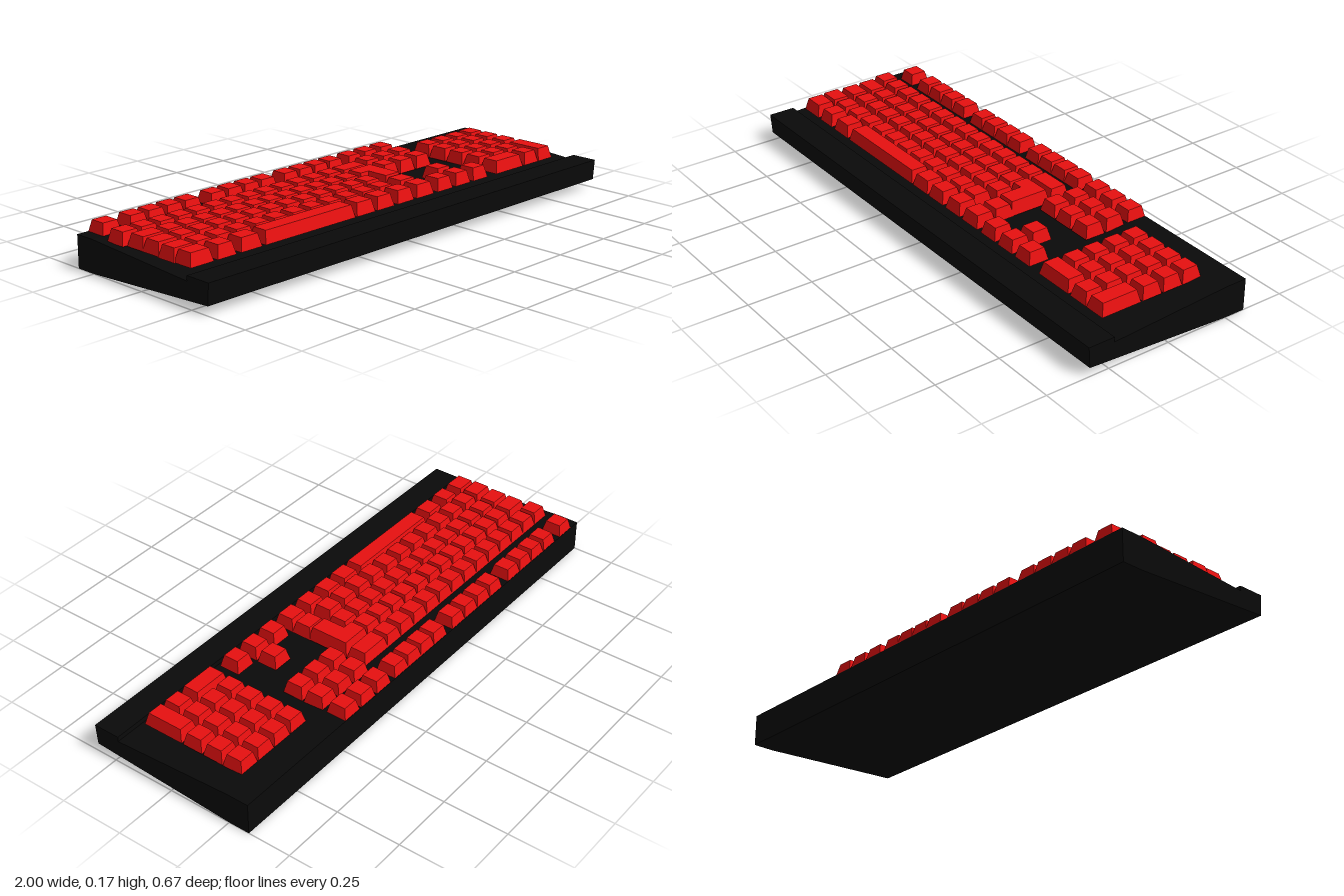
import * as THREE from 'three';

const bodyMat = new THREE.MeshStandardMaterial({ color: 0x0a0a0a });
const keyMat = new THREE.MeshStandardMaterial({ color: 0xe81010, flatShading: true });

const BASE = 0.117, TOP = 0.164, TAPER = 0.011, HALF = 0.03;

// Tapered keycap given the extents of its top face
function addKey(group, name, x0, x1, z0, z1, top = TOP) {
  const w = x1 - x0, d = z1 - z0, h = top - BASE;
  const geo = new THREE.BoxGeometry(w, h, d);
  const p = geo.attributes.position;
  for (let i = 0; i < p.count; i++) {
    if (p.getY(i) > 0) continue;
    p.setX(i, p.getX(i) + Math.sign(p.getX(i)) * TAPER);
    p.setZ(i, p.getZ(i) + Math.sign(p.getZ(i)) * TAPER);
  }
  geo.computeVertexNormals();
  const key = new THREE.Mesh(geo, keyMat);
  key.name = name;
  key.position.set((x0 + x1) / 2, (BASE + top) / 2, (z0 + z1) / 2);
  group.add(key);
}

// Evenly spaced square keys, first and last centre given
function addRun(group, name, first, last, count, z) {
  for (let i = 0; i < count; i++) {
    const x = count > 1 ? first + ((last - first) * i) / (count - 1) : first;
    addKey(group, name, x - HALF, x + HALF, z - HALF, z + HALF);
  }
}

// One wide key centred on a row
function addWide(group, name, x0, x1, z) {
  addKey(group, name, x0, x1, z - HALF, z + HALF);
}

function section(parent, name) {
  const g = new THREE.Group();
  g.name = name;
  parent.add(g);
  return g;
}

export function createModel() {
  const model = new THREE.Group();
  model.name = 'keyboard';

  // Wedge case with a raised front lip: side profile as (z, y)
  const profile = [
    [0.328, 0.033], [0.334, 0.112], [0.23, 0.112], [0.23, 0.093],
    [-0.25, 0.122], [-0.333, 0.122], [-0.333, 0], [-0.25, 0],
  ];
  const shape = new THREE.Shape(profile.map(([z, y]) => new THREE.Vector2(z, y)));
  const caseGeo = new THREE.ExtrudeGeometry(shape, { depth: 2, bevelEnabled: false });
  caseGeo.rotateY(-Math.PI / 2).translate(1, 0, 0);
  const body = new THREE.Mesh(caseGeo, bodyMat);
  body.name = 'case';
  model.add(body);

  // Back row of escape and shortcut keys
  const back = section(model, 'backRow');
  const zBack = -0.292;
  addRun(back, 'escapeKey', -0.914, -0.914, 1, zBack);
  addRun(back, 'shortcutKey', -0.797, -0.551, 4, zBack);
  addRun(back, 'shortcutKey', -0.43, -0.187, 4, zBack);
  addRun(back, 'shortcutKey', -0.072, 0.163, 4, zBack);

  // Main typing block
  const main = section(model, 'typingKeys');
  addRun(main, 'numberKey', -0.93, 0.035, 13, -0.167);
  addWide(main, 'backspaceKey', 0.083, 0.197, -0.167);
  addWide(main, 'tabKey', -0.945, -0.858, -0.08);
  addRun(main, 'letterKey', -0.807, 0.037, 12, -0.08);
  addWide(main, 'capsKey', -0.945, -0.868, -0.002);
  addRun(main, 'letterKey', -0.818, 0.064, 12, -0.002);
  addWide(main, 'leftShiftKey', -0.95, -0.873, 0.083);
  addRun(main, 'letterKey', -0.823, 0.043, 11, 0.083);
  addWide(main, 'rightShiftKey', 0.128, 0.197, 0.078);

  // L-shaped enter key, slightly taller than the rest
  const enter = section(main, 'enterKey');
  addKey(enter, 'enterUpper', 0.085, 0.195, -0.112, -0.052, 0.169);
  addKey(enter, 'enterStem', 0.127, 0.195, -0.112, 0.036, 0.169);

  // Bottom row
  const bottom = section(model, 'bottomRow');
  const bottomKeys = [
    ['modifierKey', -0.945, -0.868], ['modifierKey', -0.83, -0.77],
    ['modifierKey', -0.727, -0.655], ['spaceBar', -0.618, -0.212],
    ['modifierKey', -0.182, -0.112], ['modifierKey', -0.08, -0.014],
    ['modifierKey', 0.026, 0.09], ['modifierKey', 0.128, 0.197],
  ];
  for (const [name, x0, x1] of bottomKeys) addWide(bottom, name, x0, x1, 0.158);

  // Navigation cluster and arrows
  const nav = section(model, 'navigationKeys');
  for (const z of [zBack, -0.195, -0.106]) addRun(nav, 'navigationKey', 0.267, 0.446, 3, z);
  addRun(nav, 'upArrowKey', 0.372, 0.372, 1, 0.07);
  addRun(nav, 'arrowKey', 0.272, 0.47, 3, 0.158);

  // Number pad
  const pad = section(model, 'numberPad');
  for (const z of [-0.184, -0.1, -0.012]) addRun(pad, 'padKey', 0.604, 0.858, 4, z);
  addRun(pad, 'padKey', 0.604, 0.773, 3, 0.073);
  addWide(pad, 'padZeroKey', 0.575, 0.71, 0.158);
  addRun(pad, 'padDotKey', 0.773, 0.773, 1, 0.158);
  addKey(pad, 'padEnterKey', 0.828, 0.888, 0.047, 0.188);

  return model;
}
